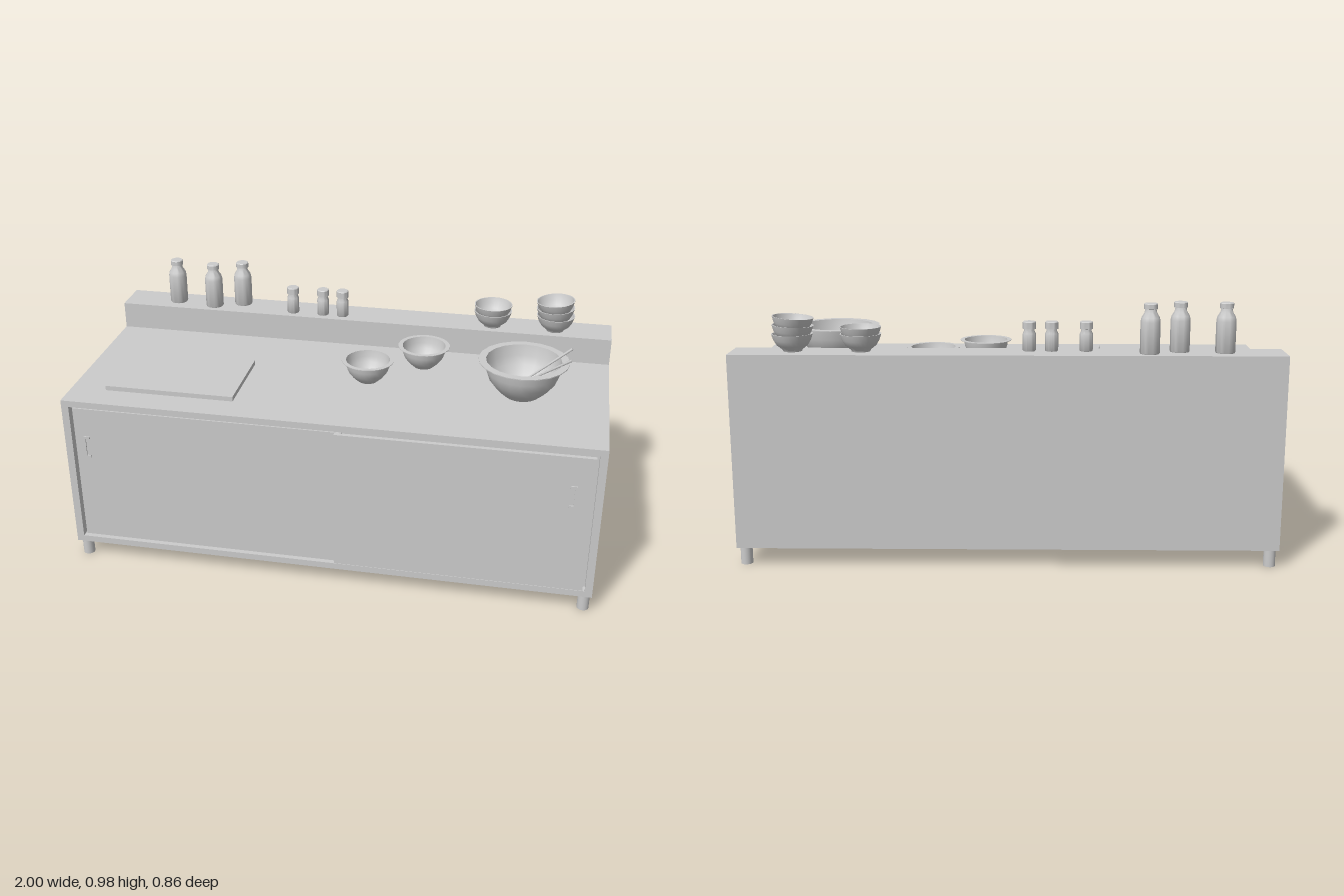
import * as THREE from 'three';
import { toCreasedNormals } from 'three/addons/utils/BufferGeometryUtils.js';

const material = new THREE.MeshStandardMaterial({ color: 0xcccccc, side: THREE.DoubleSide });
const COUNTER = 0.69, SHELF = 0.795;

export function createModel() {
  const model = new THREE.Group();

  function add(name, geometry, x = 0, y = 0, z = 0, parent = model) {
    const mesh = new THREE.Mesh(geometry, material);
    mesh.name = name;
    mesh.position.set(x, y, z);
    parent.add(mesh);
    return mesh;
  }
  const box = (name, x0, x1, y0, y1, z0, z1) => add(name,
    new THREE.BoxGeometry(x1 - x0, y1 - y0, z1 - z0), (x0 + x1) / 2, (y0 + y1) / 2, (z0 + z1) / 2);
  const shapeOf = pts => new THREE.Shape(pts.map(p => new THREE.Vector2(...p)));
  const extrude = (shape, depth) => new THREE.ExtrudeGeometry(shape, { depth, bevelEnabled: false });
  const lathe = (pts, sides) => toCreasedNormals(
    new THREE.LatheGeometry(pts.map(p => new THREE.Vector2(...p)), sides), 0.7);

  // Cabinet: stepped side profile swept along x
  const profile = shapeOf([[-0.39, 0.07], [0.43, 0.07], [0.43, SHELF], [0.28, SHELF], [0.28, COUNTER], [-0.39, COUNTER]]);
  add('cabinetBody', extrude(profile, 2).rotateY(Math.PI / 2), -1);

  // Front frame around the door opening
  const frame = shapeOf([[-1, 0.07], [1, 0.07], [1, COUNTER], [-1, COUNTER]]);
  frame.holes.push(shapeOf([[-0.972, 0.095], [-0.972, 0.665], [0.972, 0.665], [0.972, 0.095]]));
  add('doorFrame', extrude(frame, 0.03), 0, 0, 0.39);

  // Sliding doors, one running in front of the other
  box('rearDoor', -0.963, 0.06, 0.1, 0.655, 0.39, 0.408);
  box('frontDoor', 0.035, 0.963, 0.1, 0.655, 0.409, 0.425);

  // Thin hooked door pulls
  const pull = shapeOf([[-0.012, -0.045], [0.012, -0.045], [0.012, 0.045], [-0.012, 0.045],
    [-0.012, 0.035], [0.004, 0.035], [0.004, -0.035], [-0.012, -0.035]]);
  add('frontDoorPull', extrude(pull, 0.006), 0.895, 0.495, 0.424);
  add('rearDoorPull', extrude(pull, 0.006).rotateZ(Math.PI), -0.918, 0.495, 0.407);

  // Legs
  for (const x of [-0.972, 0.972]) for (const z of [0.386, -0.392])
    add('leg', new THREE.CylinderGeometry(0.022, 0.022, 0.07, 20), x, 0.035, z);

  // Cutting board
  box('cuttingBoard', -0.865, -0.37, COUNTER, 0.708, -0.02, 0.307);

  // Mixing bowls with flat rims
  const bowl = [[0, 0], [0.065, 0], [0.098, 0.03], [0.125, 0.065], [0.138, 0.1], [0.144, 0.137],
    [0.168, 0.138], [0.168, 0.141], [0.14, 0.141], [0.133, 0.1], [0.12, 0.068], [0.094, 0.035], [0.062, 0.008], [0, 0.006]];
  add('largeBowl', lathe(bowl, 20), 0.677, COUNTER, 0.043);
  const mediumBowl = lathe(bowl.map(([r, y]) => [r * 0.6, y * 0.61]), 24);
  for (const [x, z] of [[0.09, 0.03], [0.283, -0.137]]) add('mediumBowl', mediumBowl, x, COUNTER, z);

  // Chopsticks resting in the large bowl
  for (const [a, b] of [
    [[0.67, 0.715, -0.005], [0.85, 0.87, -0.005]],
    [[0.67, 0.715, 0.005], [0.85, 0.865, 0.088]]]) {
    const from = new THREE.Vector3(...a), dir = new THREE.Vector3(...b).sub(from);
    const stick = add('chopstick', new THREE.CylinderGeometry(0.005, 0.0035, dir.length(), 8));
    stick.position.copy(from).addScaledVector(dir, 0.5);
    stick.quaternion.setFromUnitVectors(new THREE.Vector3(0, 1, 0), dir.normalize());
  }

  // Stacks of small bowls on the raised shelf: [height, tilt] per bowl
  const smallBowl = lathe([[0, 0], [0.034, 0], [0.036, 0.006], [0.056, 0.022], [0.068, 0.042], [0.075, 0.064],
    [0.071, 0.064], [0.064, 0.043], [0.052, 0.025], [0.032, 0.01], [0, 0.008]], 24);
  const stacks = [
    [0.53, [[0, 0], [0.026, 0]]],
    [0.778, [[0, 0], [0.031, 0.05], [0.061, 0.08]]]];
  for (const [x, bowls] of stacks) {
    const stack = new THREE.Group();
    stack.name = 'bowlStack';
    stack.position.set(x, SHELF, -0.343);
    model.add(stack);
    for (const [y, tilt] of bowls) add('smallBowl', smallBowl, 0, y, 0, stack).rotation.z = tilt;
  }

  // Bottles with flared caps
  const bottle = lathe([[0, 0], [0.034, 0], [0.036, 0.004], [0.036, 0.115], [0.033, 0.13], [0.023, 0.146],
    [0.02, 0.16], [0.025, 0.161], [0.025, 0.178], [0.022, 0.181], [0, 0.181]], 24);
  for (const [x, z] of [[-0.783, -0.355], [-0.622, -0.335], [-0.51, -0.378]]) add('bottle', bottle, x, SHELF, z);

  // Small shakers
  const shaker = lathe([[0, 0], [0.022, 0], [0.024, 0.003], [0.024, 0.063], [0.019, 0.074], [0.019, 0.08],
    [0.024, 0.081], [0.024, 0.105], [0.021, 0.108], [0, 0.108]], 20);
  for (const x of [-0.285, -0.16, -0.079]) add('shaker', shaker, x, SHELF, -0.328);

  return model;
}
